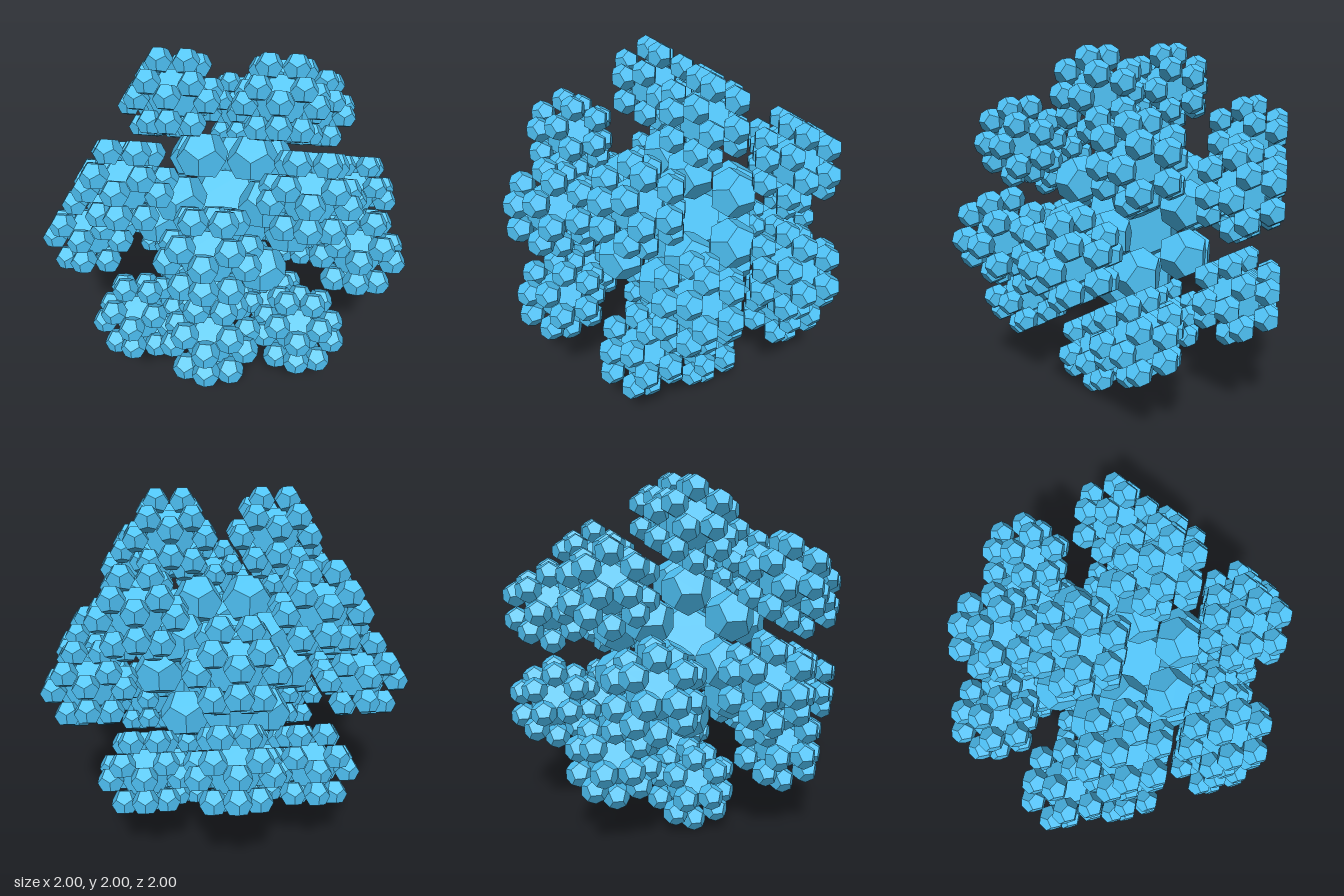
import * as THREE from 'three';

// Corner directions of a regular dodecahedron
function cornerDirections() {
  const p = (1 + Math.sqrt(5)) / 2, q = 1 / p, dirs = [];
  for (const a of [-1, 1]) for (const b of [-1, 1]) {
    dirs.push([0, a * q, b * p], [a * q, b * p, 0], [a * p, 0, b * q]);
    for (const c of [-1, 1]) dirs.push([a, b, c]);
  }
  return dirs.map((d) => new THREE.Vector3(...d).normalize());
}

export function createModel() {
  const model = new THREE.Group();
  model.name = 'dodecahedronFractal';
  const material = new THREE.MeshStandardMaterial({ color: 0x4fc3f7, flatShading: true });
  const R = 0.2987; // core radius
  const dirs = cornerDirections();
  const coreGeo = new THREE.DodecahedronGeometry(R);
  const halfGeo = new THREE.DodecahedronGeometry(R / 2);
  const quarterGeo = new THREE.DodecahedronGeometry(R / 4);

  const add = (parent, geometry, name, position) => {
    const mesh = new THREE.Mesh(geometry, material);
    mesh.name = name;
    if (position) mesh.position.copy(position);
    parent.add(mesh);
  };

  // Central solid
  add(model, coreGeo, 'core');

  for (const dir of dirs) {
    // Inner ring solid sitting on each corner of the core
    add(model, halfGeo, 'innerSolid', dir.clone().multiplyScalar(R * 4 / 3));

    // Outer cluster: a half-size solid with a small one on each corner
    const cluster = new THREE.Group();
    cluster.name = 'outerCluster';
    cluster.position.copy(dir).multiplyScalar(R * 8 / 3);
    add(cluster, halfGeo, 'clusterCore');
    for (const d of dirs) add(cluster, quarterGeo, 'clusterTip', d.clone().multiplyScalar(R * 2 / 3));
    model.add(cluster);
  }

  model.position.y = 1;
  const root = new THREE.Group();
  root.name = 'model';
  root.add(model);
  return root;
}
